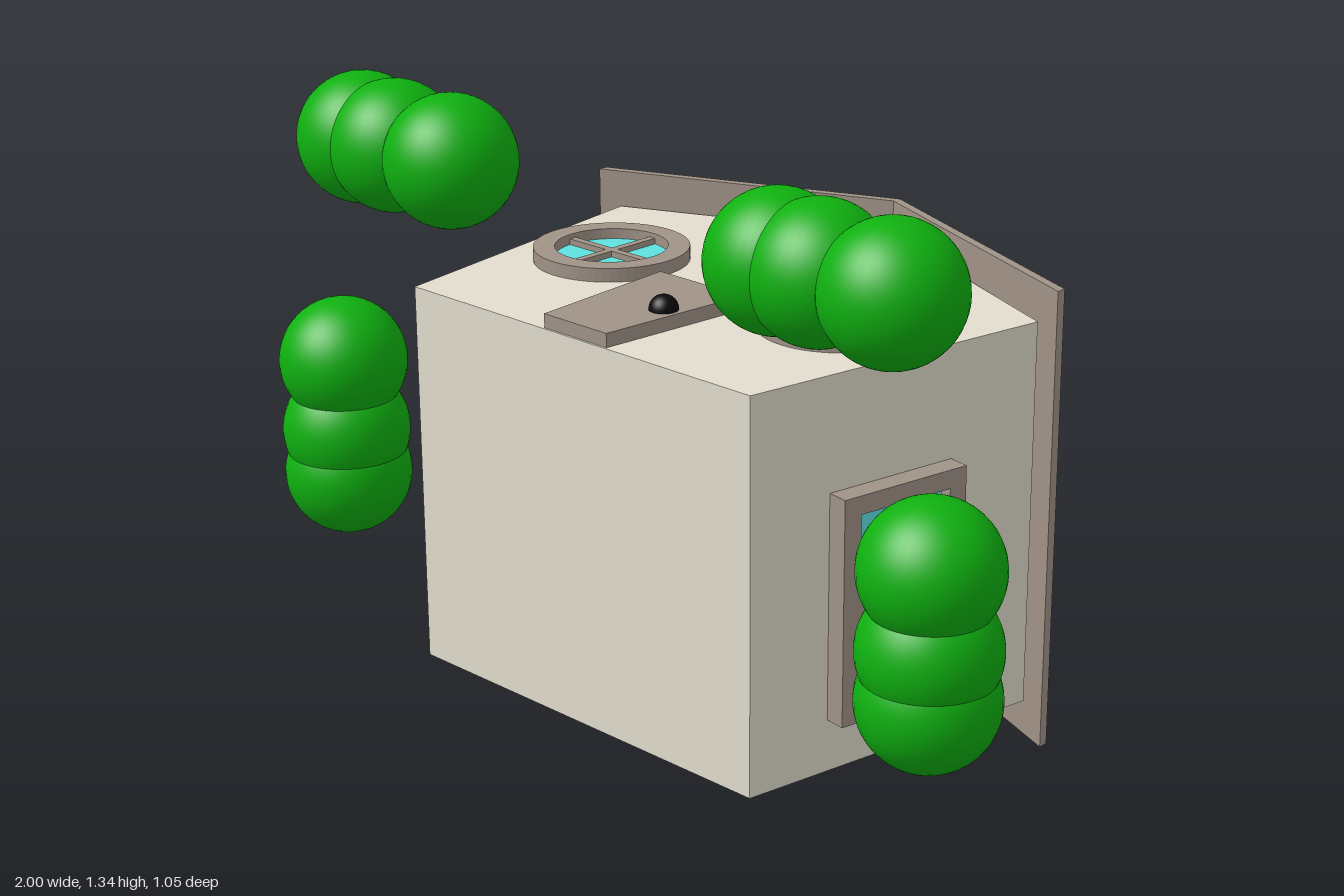
import * as THREE from 'three';

const mat = (color) => new THREE.MeshStandardMaterial({ color });

const polygon = (pts) => new THREE.Shape(pts.map(([x, y]) => new THREE.Vector2(x, y)));

const rect = (x0, x1, y0, y1) => polygon([[x0, y0], [x1, y0], [x1, y1], [x0, y1]]);

// Extrude a shape between two depths
function slab(shapes, z0, z1) {
  const geo = new THREE.ExtrudeGeometry(shapes, { depth: z1 - z0, bevelEnabled: false, curveSegments: 32 });
  return geo.translate(0, 0, z0);
}

export function createModel() {
  const model = new THREE.Group();
  const wall = mat(0xe2ddcd), wood = mat(0xa09287), glass = mat(0x5fe0e0);
  const leaf = mat(0x0fb010), black = mat(0x0a0a0a);

  const add = (parent, name, geo, material, x = 0, y = 0, z = 0) => {
    const mesh = new THREE.Mesh(geo, material);
    mesh.name = name;
    mesh.position.set(x, y, z);
    parent.add(mesh);
    return mesh;
  };

  // House is modelled upright, then laid on its back
  const house = new THREE.Group();
  house.name = 'house';
  house.rotation.x = -Math.PI / 2;
  house.position.x = -0.005;
  model.add(house);

  // Walls flare outwards towards the eaves
  add(house, 'walls', slab(polygon([
    [-0.485, -0.47], [0.485, -0.47], [0.605, 0.25], [0, 0.506], [-0.605, 0.25],
  ]), 0.085, 0.935), wall);

  // Gabled roof sheet
  add(house, 'roof', slab(polygon([
    [0.662, 0.238], [0.662, 0.26], [0, 0.525], [-0.662, 0.26], [-0.662, 0.238], [0, 0.503],
  ]), 0, 1.015), wood);

  // Door and knob
  add(house, 'door', slab(polygon([
    [-0.09, -0.465], [0.09, -0.465], [0.12, -0.105], [-0.12, -0.105],
  ]), 0.93, 0.965), wood);
  add(house, 'doorKnob', new THREE.SphereGeometry(0.031, 24, 16), black, 0.065, -0.28, 0.966);

  // Round front windows
  for (const side of [-1, 1]) {
    const win = new THREE.Group();
    win.name = 'roundWindow';
    win.position.set(side * 0.33, -0.045, 0.93);
    house.add(win);
    const ring = new THREE.Shape().absarc(0, 0, 0.17, 0, Math.PI * 2);
    ring.holes.push(new THREE.Path().absarc(0, 0, 0.123, 0, Math.PI * 2, true));
    add(win, 'windowRing', slab(ring, 0, 0.035), wood);
    const pane = new THREE.CylinderGeometry(0.125, 0.125, 0.012, 48).rotateX(Math.PI / 2);
    add(win, 'windowGlass', pane, glass, 0, 0, 0.006);
    add(win, 'windowBar', new THREE.BoxGeometry(0.246, 0.018, 0.025), wood, 0, 0, 0.0125);
    add(win, 'windowBar', new THREE.BoxGeometry(0.018, 0.246, 0.025), wood, 0, 0, 0.0125);
  }

  // Four-pane side windows, tilted with the walls
  const tilt = Math.atan2(0.12, 0.72);
  for (const side of [-1, 1]) {
    const win = new THREE.Group();
    win.name = 'sideWindow';
    win.position.set(side * 0.542, -0.1235, 0.445);
    win.rotation.set(0, side * Math.PI / 2, -side * tilt, 'ZYX');
    house.add(win);
    const frame = rect(-0.245, 0.245, -0.156, 0.156);
    for (const [x0, x1] of [[-0.205, -0.025], [0.025, 0.205]]) {
      for (const [y0, y1] of [[-0.114, -0.028], [0.028, 0.114]]) {
        frame.holes.push(rect(x0, x1, y0, y1));
      }
    }
    add(win, 'windowFrame', slab(frame, -0.005, 0.048), wood);
    add(win, 'windowGlass', new THREE.BoxGeometry(0.42, 0.24, 0.02), glass, 0, 0, 0.012);
  }

  // Bushes: clusters of three overlapping balls around the house
  const clusters = {
    bushFrontRight: [[-0.75, 1.195], [-0.645, 1.195], [-0.465, 1.195]],
    bushFrontLeft: [[0.465, 1.177], [0.57, 1.177], [0.75, 1.177]],
    bushSideRight: [[-0.857, 0.662], [-0.857, 0.5], [-0.857, 0.398]],
    bushSideLeft: [[0.857, 0.662], [0.857, 0.5], [0.857, 0.398]],
  };
  const ball = new THREE.SphereGeometry(0.143, 40, 28);
  for (const [name, centres] of Object.entries(clusters)) {
    const bush = new THREE.Group();
    bush.name = name;
    for (const [x, y] of centres) add(bush, 'foliage', ball, leaf, x, y, 0.38);
    model.add(bush);
  }

  return model;
}
